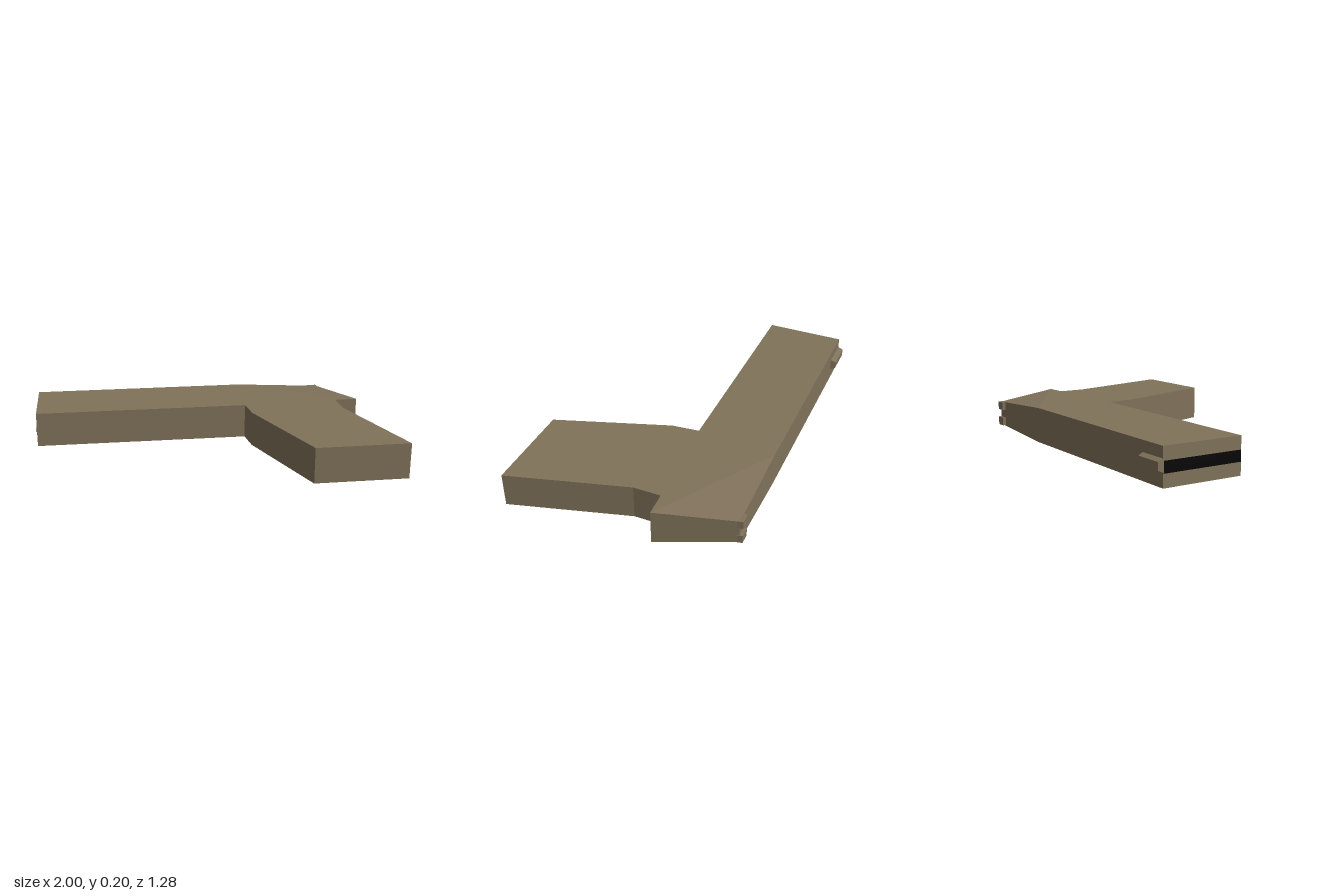
import * as THREE from 'three';

const THICK = 0.2;

// Extrude an outline drawn in (x, z) upwards from y = 0 to THICK
function slab(points) {
  const shape = new THREE.Shape(points.map(([x, z]) => new THREE.Vector2(x, z)));
  const geo = new THREE.ExtrudeGeometry(shape, { depth: THICK, bevelEnabled: false });
  return geo.rotateX(Math.PI / 2).translate(0, THICK, 0);
}

// Move every vertex by a rule and keep the faces flat
function reshape(geometry, rule) {
  const geo = geometry.index ? geometry.toNonIndexed() : geometry;
  const pos = geo.attributes.position;
  const v = new THREE.Vector3();
  for (let i = 0; i < pos.count; i++) {
    v.fromBufferAttribute(pos, i);
    rule(v);
    pos.setXYZ(i, v.x, v.y, v.z);
  }
  geo.computeVertexNormals();
  return geo;
}

// Box from its limits
function block(x0, x1, y0, y1, z0, z1) {
  return new THREE.BoxGeometry(x1 - x0, y1 - y0, z1 - z0)
    .translate((x0 + x1) / 2, (y0 + y1) / 2, (z0 + z1) / 2);
}

export function createModel() {
  const group = new THREE.Group();
  const brown = new THREE.MeshStandardMaterial({ color: 0x80725a, flatShading: true });
  brown.name = 'drab brown';
  const black = new THREE.MeshStandardMaterial({ color: 0x050505 });
  black.name = 'black';

  const add = (name, geometry, material = brown) => {
    const mesh = new THREE.Mesh(geometry, material);
    mesh.name = name;
    group.add(mesh);
  };

  // Barrel housing and grip in one flat outline
  add('body', slab([
    [-0.998, -0.61], [0.28, -0.61], [0.95, -0.19], [0.815, -0.185], [0.815, -0.03],
    [1, 0.64], [0.475, 0.64], [0.26, 0], [0.245, -0.155], [-0.998, -0.155],
  ]));

  // Rear corner, thinned towards its outer tip
  const corner = slab([[0.28, -0.61], [0.805, -0.61], [0.95, -0.19]]);
  add('rearCorner', reshape(corner, (v) => {
    if (Math.abs(v.x - 0.805) < 0.01) v.y = v.y > THICK / 2 ? 0.17 : 0.03;
  }));

  // Dark band across the muzzle
  add('muzzleBand', block(-1, -0.994, 0.07, 0.13, -0.608, -0.157), black);

  // Front sight with chamfered top and rear end
  add('frontSight', reshape(block(-1, -0.825, 0.073, 0.143, -0.64, -0.605), (v) => {
    if (v.z < -0.62) {
      v.y += v.y > 0.108 ? -0.014 : 0.014;
      if (v.x > -0.9) v.x -= 0.01;
    }
  }));

  // Pair of rear sight posts with a notch between
  for (const [y0, y1] of [[0.03, 0.078], [0.125, 0.172]]) {
    add('rearSight', reshape(block(0.74, 0.81, y0, y1, -0.628, -0.6), (v) => {
      if (v.z < -0.61) v.x += v.x < 0.77 ? 0.006 : -0.006;
    }));
  }

  return group;
}
